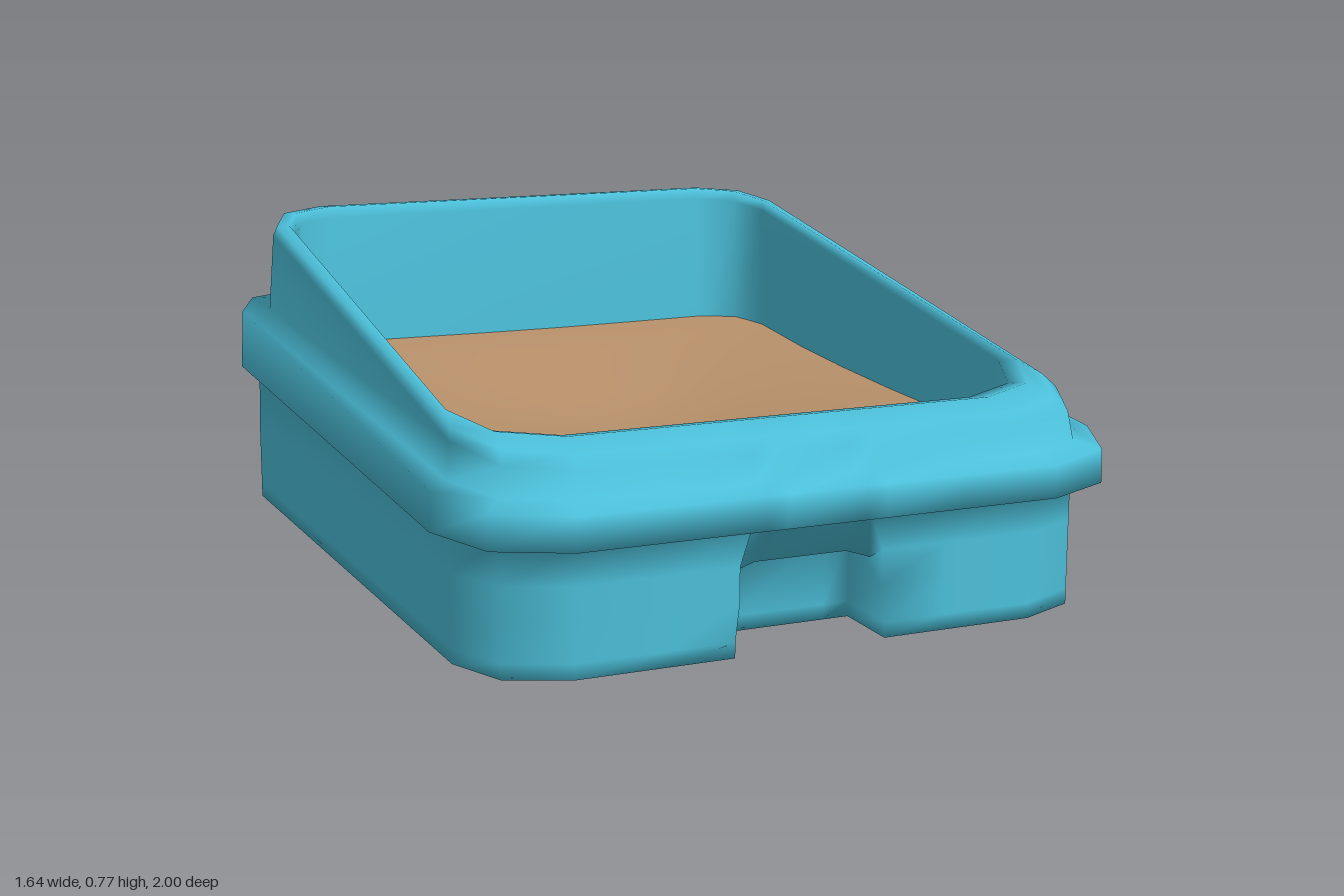
import * as THREE from 'three';
import { mergeVertices } from 'three/addons/utils/BufferGeometryUtils.js';

// Rounded-rectangle outline with two-facet corners, front edge first, anticlockwise from above.
// front: optional extra points [x, z] along the front edge, from -x to +x.
function outline(wB, wF, zB, zF, cB, cF, front = []) {
  const right = [
    [wF - cF, zF], [wF - 0.3 * cF, zF - 0.3 * cF], [wF, zF - cF],
    [wB, -zB + cB], [wB - 0.3 * cB, -zB + 0.3 * cB], [wB - cB, -zB],
  ];
  const left = right.map(([x, z]) => [-x, z]).reverse();
  return [...front, ...right, ...left];
}

// Front edge points, stepping back to notchZ between -h and h
function frontEdge(h, zF, notchZ) {
  const half = [[0.65 * h, notchZ], [h, notchZ], [h, zF], [0.33, zF]];
  return [...half.map(([x, z]) => [-x, z]).reverse(), ...half];
}

// Lift an outline to a height rule y(x, z)
const lift = (pts, y) => pts.map(([x, z]) => [x, y(x, z), z]);

// Skin closed rings, lowest or outermost first; extra holds further triangles
function loft(rings, extra = []) {
  const n = rings[0].length;
  const index = [...extra];
  for (let j = 0; j < rings.length - 1; j++) {
    for (let i = 0; i < n; i++) {
      const k = (i + 1) % n;
      const a = j * n + i, b = j * n + k, c = b + n, d = a + n;
      index.push(a, b, c, a, c, d);
    }
  }
  const g = new THREE.BufferGeometry();
  g.setAttribute('position', new THREE.Float32BufferAttribute(rings.flat(2), 3));
  g.setIndex(index);
  const welded = mergeVertices(g);
  welded.computeVertexNormals();
  return welded;
}

// Split each side of an outline into equal steps
function subdivide(pts, steps) {
  return pts.flatMap(([x, z], i) => {
    const [x2, z2] = pts[(i + 1) % pts.length];
    return Array.from({ length: steps }, (_, s) => [x + (x2 - x) * s / steps, z + (z2 - z) * s / steps]);
  });
}

export function createModel() {
  const group = new THREE.Group();
  const teal = new THREE.MeshStandardMaterial({ color: 0x4cc0da });
  teal.name = 'teal plastic';
  const sandy = new THREE.MeshStandardMaterial({ color: 0xb68f69 });
  sandy.name = 'brown sand';
  const add = (name, geometry, material) => {
    const mesh = new THREE.Mesh(geometry, material);
    mesh.name = name;
    group.add(mesh);
  };

  // Base walls, with an arched notch under a lip in the front wall
  const baseOutline = (h, notchZ) =>
    outline(0.77, 0.745, 0.937, 0.93, 0.11, 0.2, frontEdge(h, 0.93, notchZ));
  const inNotch = (x, z) => z > 0.7 && z < 0.9 && Math.abs(x) < 0.2;
  const lipHeight = (x) => Math.abs(x) < 0.15 ? 0.19 : 0.17;
  const bottom = baseOutline(0.18, 0.76);
  const rings = [
    lift(bottom, () => 0),
    lift(baseOutline(0.18, 0.76), () => 0.035),
    lift(baseOutline(0.17, 0.78), (x, z) => inNotch(x, z) ? 0.2 : 0.12),
    lift(baseOutline(0.17, 0.875), (x, z) => inNotch(x, z) ? lipHeight(x) : 0.2),
  ];

  // Bulging rim, sloped wall, front lip and inner wall:
  // [back half width, front half width, back z, front z, back corner, front corner, height, slope along z]
  const profile = [
    [0.77, 0.745, 0.937, 0.93, 0.13, 0.20, 0.329, 0.043],
    [0.82, 0.80, 0.998, 0.998, 0.20, 0.235, 0.334, 0.043],
    [0.812, 0.797, 1.00, 1.00, 0.20, 0.235, 0.450, 0.083],
    [0.75, 0.75, 0.935, 0.935, 0.18, 0.21, 0.46, 0.085],
    [0.733, 0.738, 0.928, 0.928, 0.17, 0.21, 0.595, 0.165],
    [0.722, 0.725, 0.918, 0.88, 0.16, 0.20, 0.615, 0.17],
    [0.694, 0.706, 0.888, 0.80, 0.15, 0.20, 0.621, 0.17],
    [0.682, 0.696, 0.866, 0.735, 0.14, 0.20, 0.598, 0.17],
    [0.675, 0.688, 0.833, 0.71, 0.14, 0.195, 0.28, 0],
  ];
  for (const [wB, wF, zB, zF, cB, cF, y, slope] of profile) {
    rings.push(lift(outline(wB, wF, zB, zF, cB, cF, frontEdge(0.14, zF, zF)), (x, z) => y - slope * z));
  }

  // Underside following the notch, joined smoothly to the walls
  const underside = THREE.ShapeUtils.triangulateShape(
    bottom.map(([x, z]) => new THREE.Vector2(x, z)), []).flat();
  add('tray', loft(rings, underside), teal);

  // Sand filling, heaped at the back and hollowed in the middle
  const sandHeight = (x, z) => 0.355 - 0.045 * z
    + 0.014 * Math.exp(-((z + 0.82) ** 2) / 0.03)
    - 0.08 * Math.exp(-((x - 0.05) ** 2 + (z + 0.1) ** 2) / 0.2);
  const edge = subdivide(outline(0.68, 0.692, 0.84, 0.712, 0.14, 0.195), 5);
  const sandRings = [];
  for (let s = 0; s <= 10; s++) {
    const k = 1 - s / 10;
    sandRings.push(lift(edge.map(([x, z]) => [x * k, z * k]), sandHeight));
  }
  add('sand', loft(sandRings), sandy);

  return group;
}
